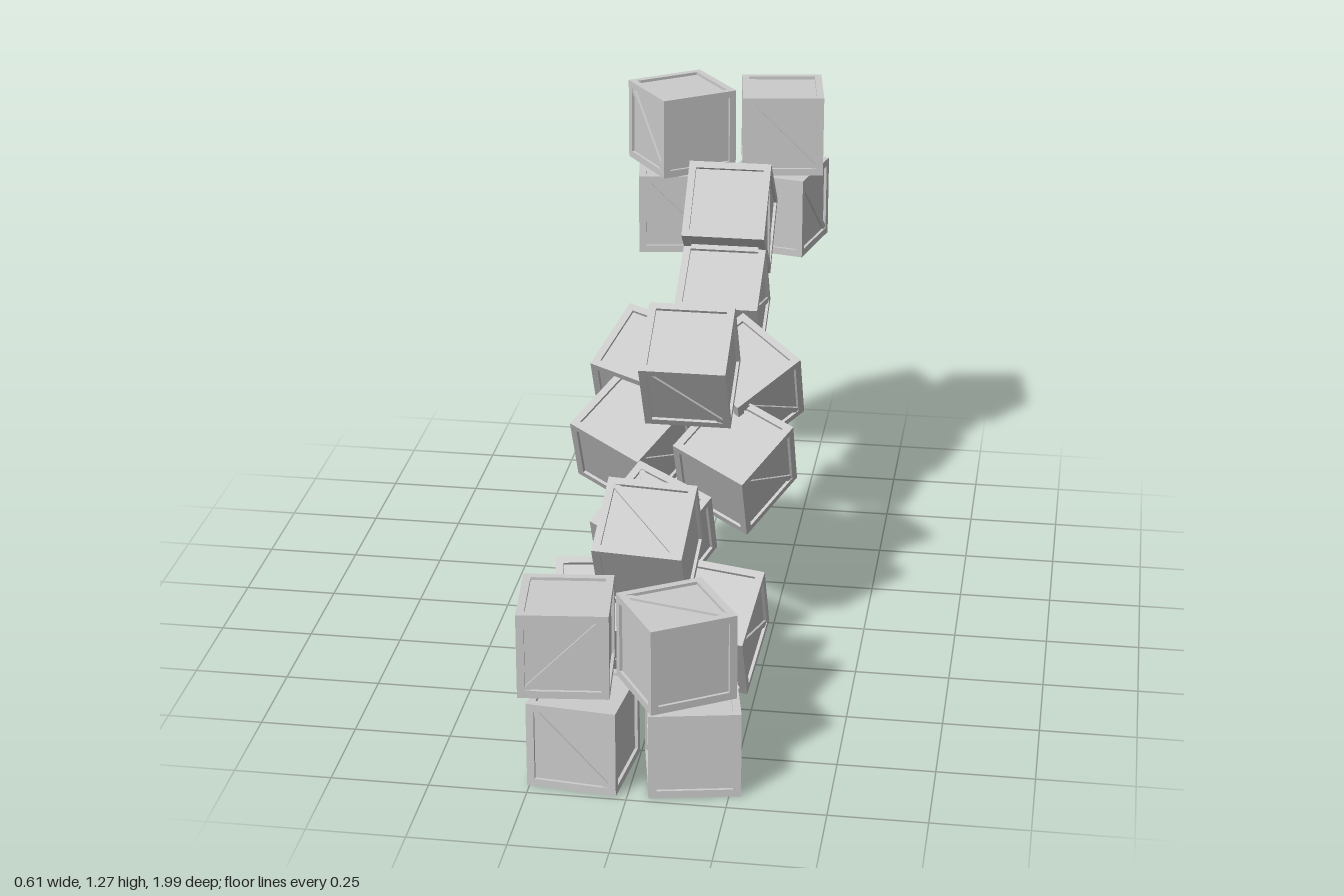
import * as THREE from 'three';
import { mergeGeometries } from 'three/addons/utils/BufferGeometryUtils.js';

const S = 0.23;        // crate edge length
const B = 0.02;        // frame beam thickness
const INSET = 0.008;   // how far panels sit behind the frame
const T = 0.006;       // panel thickness
const RAD = Math.PI / 180;

// Rotations that carry a +z face onto the other sides (the underside stays open)
const SIDES = {
  front: [0, 0], right: [0, 90], back: [0, 180], left: [0, -90], top: [-90, 0],
};
const BRACED = { x: ['right', 'left'], y: ['top'], z: ['front', 'back'] };

function toSide(geometry, side) {
  const [rx, ry] = SIDES[side];
  return geometry.rotateX(rx * RAD).rotateY(ry * RAD);
}

// Twelve beams along the cube's edges
function frameGeometry() {
  const parts = [];
  const o = (S - B) / 2;
  for (const a of [-o, o]) {
    for (const b of [-o, o]) {
      parts.push(new THREE.BoxGeometry(B, S, B).translate(a, 0, b));
      parts.push(new THREE.BoxGeometry(S - 2 * B, B, B).translate(0, a, b));
      parts.push(new THREE.BoxGeometry(B, B, S - 2 * B).translate(a, b, 0));
    }
  }
  return mergeGeometries(parts);
}

// Five thin recessed panels
function panelGeometry() {
  const w = S - 1.5 * B;
  return mergeGeometries(Object.keys(SIDES).map((side) =>
    toSide(new THREE.BoxGeometry(w, w, T).translate(0, 0, S / 2 - INSET - T / 2), side)));
}

// Diagonal battens on the sides facing one axis
function braceGeometry(axis, flip) {
  const c = S / 2 - B;
  const h = 0.008;
  // Hexagonal strip whose ends fit into the frame corners
  const strip = new THREE.Shape([
    [-c, c], [-c + h * 1.4, c], [c, -c + h * 1.4], [c, -c], [c - h * 1.4, -c], [-c, c - h * 1.4],
  ].map(([x, y]) => new THREE.Vector2(x, y)));
  return mergeGeometries(BRACED[axis].map((side) => {
    const g = new THREE.ExtrudeGeometry(strip, { depth: INSET, bevelEnabled: false });
    g.translate(0, 0, S / 2 - INSET - 0.002);
    if (flip) g.rotateZ(Math.PI / 2);
    return toSide(g, side);
  }));
}

// name, x, y, z, tilt, yaw, braced axis, mirrored brace
const CRATES = [
  // lower stack at the front
  ['frontStackLowerRight', -0.13, 0.115, 0.86, 0, -6, 'z'],
  ['frontStackLowerLeft', 0.145, 0.115, 0.85, 0, 11, 'x'],
  ['frontStackUpperRight', -0.18, 0.345, 0.81, 0, 6, 'z', true],
  ['frontStackUpperLeft', 0.10, 0.345, 0.82, 0, 31, 'y'],
  // sloping row
  ['rampFirstRight', -0.14, 0.25, 0.516, 30, 5, 'z'],
  ['rampFirstLeft', 0.15, 0.25, 0.516, 30, -8, 'x'],
  ['rampSecond', -0.04, 0.385, 0.28, 30, -27, 'y'],
  ['rampThirdRight', -0.14, 0.53, 0.0, 30, -30, 'x'],
  ['rampThirdLeft', 0.145, 0.5, 0.04, 30, -30, 'x'],
  ['rampFourthRight', -0.12, 0.655, -0.18, 30, -20, 'x'],
  ['rampFourthLeft', 0.14, 0.645, -0.145, 30, -41, 'x'],
  ['rampFifth', 0.05, 0.785, -0.40, 30, 0, 'x'],
  ['rampTop', 0.05, 0.987, -0.545, 46, 0, 'x', true],
  // loose crates lying on the row
  ['riderLower', -0.01, 0.495, 0.565, 30, -3, 'y'],
  ['riderUpper', 0.025, 0.785, 0.067, 30, 0, 'z'],
  // raised stack at the back
  ['backStackLowerRight', -0.135, 0.93, -0.82, 0, 8, 'z'],
  ['backStackLowerLeft', 0.15, 0.93, -0.85, 0, -13, 'x'],
  ['backStackUpperRight', -0.13, 1.16, -0.84, 0, 35, 'x'],
  ['backStackUpperLeft', 0.157, 1.16, -0.87, 0, 8, 'z'],
];

export function createModel() {
  const model = new THREE.Group();
  model.name = 'crateRamp';
  const material = new THREE.MeshStandardMaterial({ color: 0xcccccc });
  const frame = frameGeometry();
  const panels = panelGeometry();

  for (const [name, x, y, z, tilt, yaw, axis, flip] of CRATES) {
    const crate = new THREE.Group();
    crate.name = name + 'Crate';
    const parts = { frame, panels, braces: braceGeometry(axis, flip) };
    for (const [part, geometry] of Object.entries(parts)) {
      const mesh = new THREE.Mesh(geometry, material);
      mesh.name = part;
      crate.add(mesh);
    }
    crate.position.set(x, y, z);
    crate.rotation.set(tilt * RAD, yaw * RAD, 0);
    model.add(crate);
  }
  return model;
}
